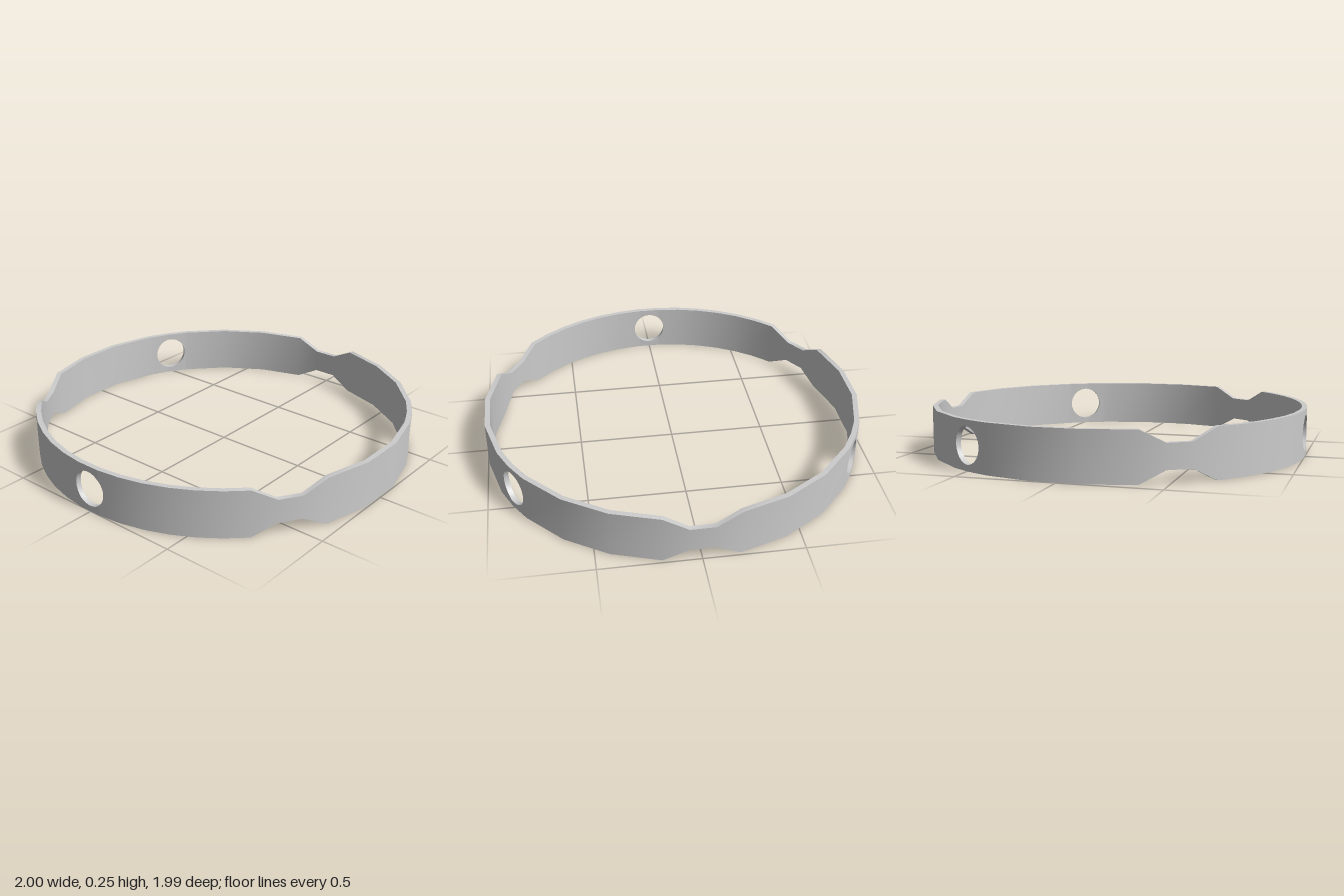
import * as THREE from 'three';
import { toCreasedNormals } from 'three/addons/utils/BufferGeometryUtils.js';

const OUTER = 1.002, INNER = 0.975, HEIGHT = 0.25, MID = HEIGHT / 2;
const HOLE = 0.093, NOTCH = 0.063;
const STEP = 3.6; // facet corners lie on odd multiples of this angle
const rad = THREE.MathUtils.degToRad;

// Corner angles of the faceted ring; the notched ones are pinched top and bottom
const halfCorners = [1, 3, 7, 11, 15, 17, 19, 23, 27, 31, 33, 35, 37, 39, 41, 43, 45, 47, 49];
const pinched = new Set([1, 33, 35]);
const corners = [...halfCorners, ...halfCorners.map(k => 100 - k).reverse()]
  .map(k => ({ a: k * STEP, lo: pinched.has(Math.min(k, 100 - k)) ? NOTCH : 0 }));
const holeCentres = [60, 180, 300];

// Half height of a round hole at an angle, 0 outside the holes
function holeHalf(a) {
  for (const c of holeCentres) {
    const d = OUTER * Math.sin(rad(a - c));
    if (Math.abs(a - c) < 20 && Math.abs(d) < HOLE) return Math.sqrt(HOLE * HOLE - d * d);
  }
  return 0;
}

// Extra columns that trace the hole outlines
function holeAngles() {
  const list = [];
  for (const c of holeCentres) {
    for (let i = 0; i <= 20; i++) {
      const d = HOLE * Math.cos(Math.PI * i / 20);
      list.push(c + THREE.MathUtils.radToDeg(Math.asin(d / OUTER)));
    }
  }
  return list;
}

function buildBand() {
  const pos = [];
  const quad = (a, b, c, d) => { for (const p of [a, b, c, a, c, d]) pos.push(...p); };

  // Solid piece of wall between two columns
  const block = (p, q, pLo, pHi, qLo, qHi) => {
    const at = (col, k, y) => [col.x * k, y, col.z * k];
    const i = INNER / OUTER;
    const o = [at(p, 1, pLo), at(q, 1, qLo), at(q, 1, qHi), at(p, 1, pHi)];
    const n = [at(p, i, pLo), at(q, i, qLo), at(q, i, qHi), at(p, i, pHi)];
    quad(o[0], o[1], o[2], o[3]); // outside
    quad(n[1], n[0], n[3], n[2]); // inside
    quad(o[3], o[2], n[2], n[3]); // upper rim
    quad(o[1], o[0], n[0], n[1]); // lower rim
  };

  const extra = holeAngles();
  corners.forEach((c0, i) => {
    const next = corners[(i + 1) % corners.length];
    const a1 = next.a > c0.a ? next.a : next.a + 360;
    const mid = (c0.a + a1) / 2, half = (a1 - c0.a) / 2;
    const angles = [c0.a, ...extra.filter(a => a > c0.a + 0.01 && a < a1 - 0.01), a1].sort((a, b) => a - b);
    // Columns stand on the straight chord between the two corners
    const cols = angles.map(a => {
      const r = OUTER * Math.cos(rad(half)) / Math.cos(rad(a - mid));
      const t = (a - c0.a) / (a1 - c0.a);
      return {
        x: r * Math.cos(rad(a)), z: -r * Math.sin(rad(a)),
        lo: THREE.MathUtils.lerp(c0.lo, next.lo, t), h: holeHalf(a), a,
      };
    });
    for (let k = 0; k + 1 < cols.length; k++) {
      const p = cols[k], q = cols[k + 1];
      if (holeHalf((p.a + q.a) / 2) > 0) {
        block(p, q, p.lo, MID - p.h, q.lo, MID - q.h);
        block(p, q, MID + p.h, HEIGHT - p.lo, MID + q.h, HEIGHT - q.lo);
      } else {
        block(p, q, p.lo, HEIGHT - p.lo, q.lo, HEIGHT - q.lo);
      }
    }
  });

  const geo = new THREE.BufferGeometry();
  geo.setAttribute('position', new THREE.Float32BufferAttribute(pos, 3));
  return toCreasedNormals(geo, 0.5);
}

export function createModel() {
  const group = new THREE.Group();
  group.name = 'notchedRing';
  const band = new THREE.Mesh(buildBand(), new THREE.MeshStandardMaterial({ color: 0xcccccc }));
  band.name = 'band';
  group.add(band);
  return group;
}
